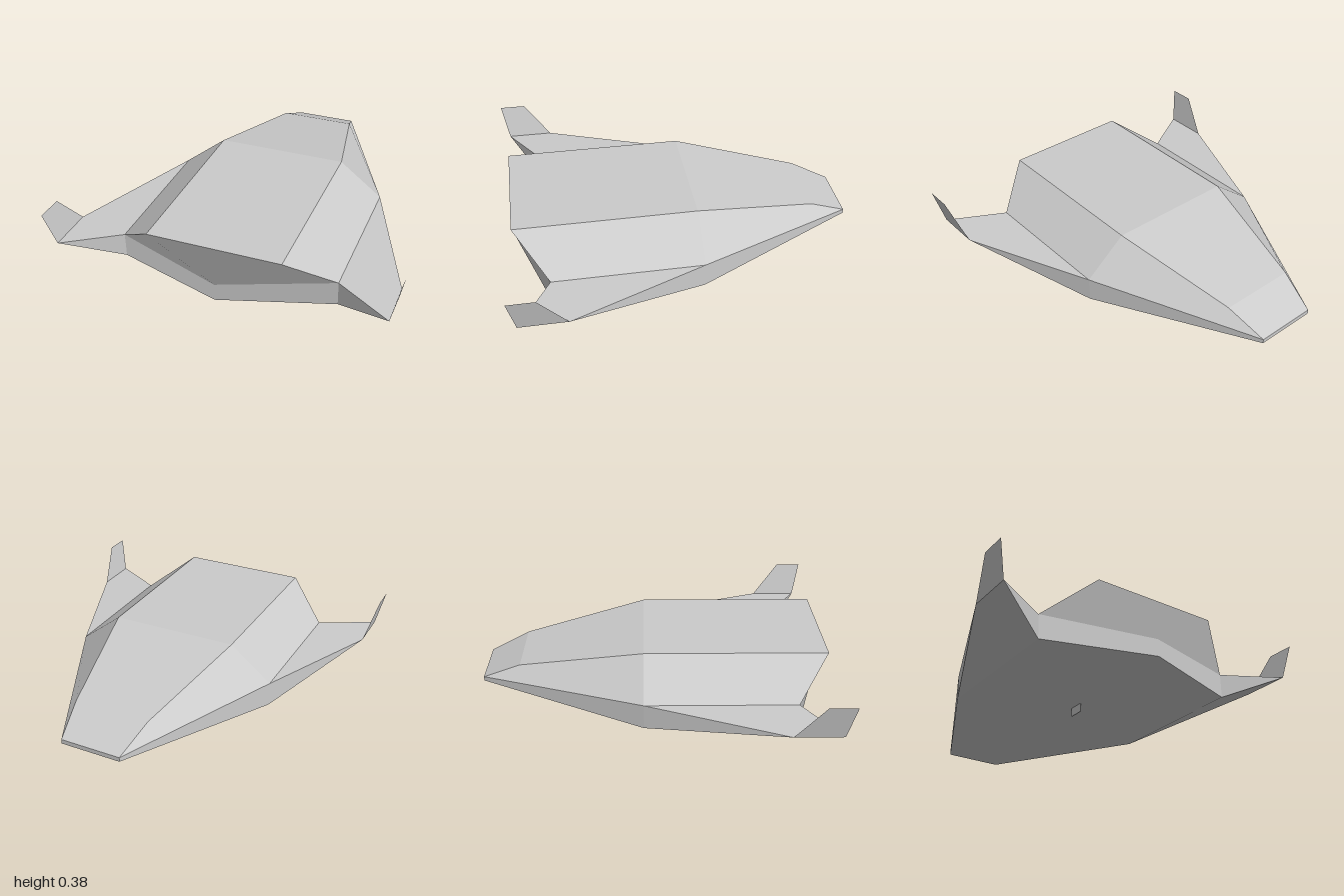
import * as THREE from 'three';

const material = new THREE.MeshStandardMaterial({ color: 0xcccccc, side: THREE.DoubleSide });

// Flat panels (convex corner loops), each with one normal pointing away from `inside`
function panels(name, faces, inside) {
  const position = [], normal = [];
  const centre = new THREE.Vector3(...inside);
  for (const face of faces) {
    let pts = face.map(p => new THREE.Vector3(...p));
    const n = new THREE.Vector3(), mid = new THREE.Vector3();
    pts.forEach((p, i) => {
      n.add(p.clone().cross(pts[(i + 1) % pts.length]));
      mid.addScaledVector(p, 1 / pts.length);
    });
    n.normalize();
    if (n.dot(mid.sub(centre)) < 0) {
      n.negate();
      pts = [pts[0], ...pts.slice(1).reverse()];
    }
    for (let i = 1; i < pts.length - 1; i++) {
      for (const p of [pts[0], pts[i], pts[i + 1]]) {
        position.push(p.x, p.y, p.z);
        normal.push(n.x, n.y, n.z);
      }
    }
  }
  const geometry = new THREE.BufferGeometry();
  geometry.setAttribute('position', new THREE.Float32BufferAttribute(position, 3));
  geometry.setAttribute('normal', new THREE.Float32BufferAttribute(normal, 3));
  const mesh = new THREE.Mesh(geometry, material);
  mesh.name = name;
  return mesh;
}

const mirror = p => [-p[0], p[1], p[2]];
// Face spanning both sides: right-hand corners followed by their mirror images
const across = (...pts) => [...pts, ...pts.map(mirror).reverse()];

export function createModel() {
  const model = new THREE.Group();
  model.name = 'wedgeCraft';

  // Key corners on the +x side
  const noseLow = [0.175, 0.11, -1], noseHigh = [0.175, 0.135, -1];
  const brow = [0.22, 0.235, -0.78];
  const deckFront = [0.37, 0.38, -0.07], deckRear = [0.37, 0.38, 0.955];
  const chineFront = [0.612, 0.19, -0.07], chineRear = [0.612, 0.19, 0.77];
  const keelFront = [0.612, 0.05, -0.07], keelRear = [0.612, 0.05, 0.77];
  const sternLow = [0, 0.05, 0.955], sternHigh = [0, 0.15, 0.955];
  const tipFront = [0.922, 0.182, 0.69], tipRear = [0.922, 0.182, 0.955];

  // Hull: deck, belly, nose and stern
  const side = [
    [deckFront, deckRear, chineRear, chineFront],
    [chineFront, noseHigh, brow, deckFront],
    [noseLow, noseHigh, chineFront, keelFront],
  ];
  model.add(panels('hull', [
    across(deckRear, deckFront),
    across(deckFront, brow),
    across(brow, noseHigh),
    across(noseHigh, noseLow),
    across(noseLow, keelFront),
    [sternLow, ...across(keelRear, keelFront)].map((p, i, a) => a[i]),
    [sternLow, keelRear, chineRear, sternHigh, mirror(chineRear), mirror(keelRear)],
    [sternHigh, chineRear, deckRear, mirror(deckRear), mirror(chineRear)],
    ...side,
    ...side.map(face => face.map(mirror)),
  ], [0, 0.18, 0.2]));

  // Wings and their upswept tip fins
  const wing = [
    [chineFront, tipFront, tipRear, chineRear],
    [keelFront, tipFront, tipRear, keelRear],
    [chineFront, keelFront, tipFront],
    [chineRear, keelRear, tipRear],
  ];
  const fin = [[tipFront, tipRear, [0.966, 0.378, 0.995], [0.966, 0.378, 0.845]]];
  for (const [label, flip] of [['left', p => p], ['right', mirror]]) {
    const build = faces => faces.map(face => face.map(flip));
    model.add(panels(label + 'Wing', build(wing), flip([0.7, 0.15, 0.5])));
    model.add(panels(label + 'WingFin', build(fin), flip([0, 0.2, 0.8])));
  }

  // Small blade under the belly
  const blade = new THREE.Mesh(new THREE.BoxGeometry(0.004, 0.05, 0.09), material);
  blade.name = 'bellyBlade';
  blade.position.set(0, 0.025, 0.22);
  model.add(blade);

  return model;
}
